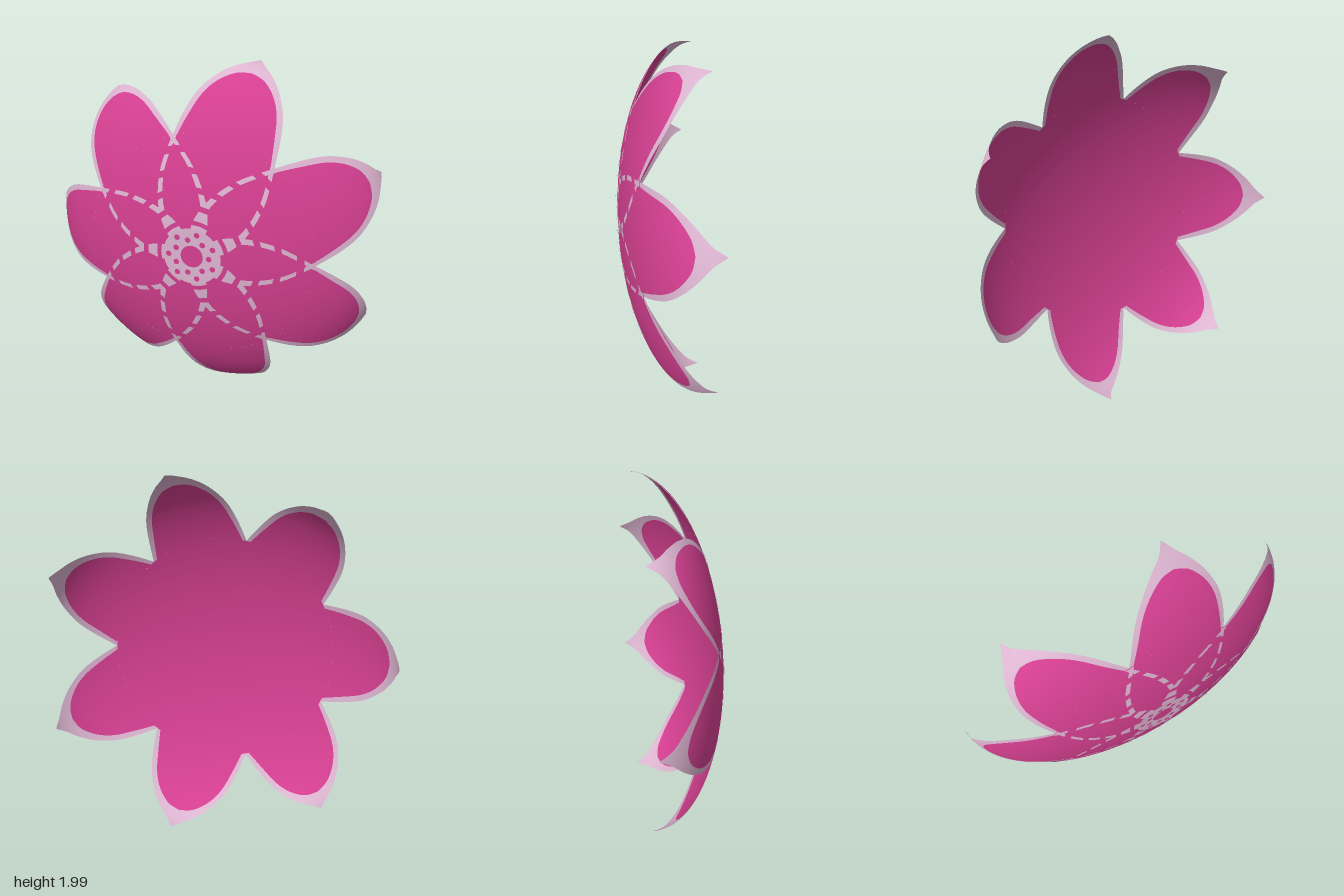
import * as THREE from 'three';

const R = 1.02, H = 0.47, Z0 = -0.24; // squashed half-ball that all petals lie on
const CENTRE = [0.04, 1];
const PETALS = 7;

// Point on the bowl: t = angle from the pole, w = sideways offset from the petal axis
function place(t, w, turn, lift) {
  const r = R * Math.sin(t);
  const a = turn + (r > 1e-6 ? Math.asin(THREE.MathUtils.clamp(w / r, -0.95, 0.95)) : 0);
  const p = new THREE.Vector3(r * Math.cos(a), r * Math.sin(a), H * Math.cos(t));
  const n = new THREE.Vector3(p.x / (R * R), p.y / (R * R), p.z / (H * H)).normalize();
  p.addScaledVector(n, lift);
  p.z += Z0;
  return { p, n };
}

// Smooth sheet between two matching lists of (t, w) points
function sheet(a, b, steps, turn, lift = 0) {
  const pos = [], nor = [], idx = [];
  a.forEach((pa, i) => {
    for (let j = 0; j <= steps; j++) {
      const q = pa.clone().lerp(b[i], j / steps);
      const { p, n } = place(q.x, q.y, turn, lift);
      pos.push(p.x, p.y, p.z);
      nor.push(n.x, n.y, n.z);
      if (i && j) {
        const k = i * (steps + 1) + j, l = k - steps - 1;
        // w grows anticlockwise and t outwards, seen from the front
        idx.push(l - 1, k - 1, k, l - 1, k, l);
      }
    }
  });
  const g = new THREE.BufferGeometry();
  g.setAttribute('position', new THREE.Float32BufferAttribute(pos, 3));
  g.setAttribute('normal', new THREE.Float32BufferAttribute(nor, 3));
  g.setIndex(idx);
  return g;
}

// Outline through (radius, half width) points, returned as (t, w)
function outline(points, count) {
  const v = points.map(([r, w]) => new THREE.Vector2(Math.asin(Math.min(1, r / R)), w));
  return new THREE.SplineCurve(v).getPoints(count)
    .map(p => p.set(Math.min(p.x, Math.PI / 2), Math.max(p.y, 0)));
}
const flip = list => list.map(p => new THREE.Vector2(p.x, -p.y));

export function createModel() {
  const pink = new THREE.MeshStandardMaterial({ color: 0xd43f90, side: THREE.DoubleSide });
  pink.name = 'deep pink';
  const pale = new THREE.MeshStandardMaterial({ color: 0xdcb4d0, side: THREE.DoubleSide });
  pale.name = 'pale pink';

  const root = new THREE.Group();
  root.name = 'flower';
  const flower = new THREE.Group();
  flower.name = 'blossom';
  flower.position.set(CENTRE[0], CENTRE[1], 0);
  root.add(flower);
  const add = (parent, geometry, material, name) => {
    const m = new THREE.Mesh(geometry, material);
    m.name = name;
    parent.add(m);
    return m;
  };

  // Petal outlines: overlapped base, then blade and its pale border
  const base = outline([[0, 0], [0.1, 0.09], [0.2, 0.18], [0.34, 0.26], [0.5, 0.3], [0.66, 0.288]], 24);
  const blade = outline([[0.66, 0.265], [0.76, 0.24], [0.85, 0.21], [0.91, 0.165], [0.95, 0.105], [0.966, 0.06], [0.974, 0]], 28);
  const edge = outline([[0.66, 0.288], [0.78, 0.268], [0.87, 0.237], [0.945, 0.173], [0.988, 0.105], [1.01, 0.045], [1.02, 0]], 28);

  for (let i = 0; i < PETALS; i++) {
    const turn = Math.PI + (i * 2 * Math.PI) / PETALS;
    const petal = new THREE.Group();
    petal.name = 'petal';
    flower.add(petal);
    add(petal, sheet(flip(base), base, 16, turn), pink, 'petalBase');
    add(petal, sheet(flip(blade), blade, 16, turn), pink, 'petalBlade');
    add(petal, sheet(blade, edge, 4, turn), pale, 'petalBorder');
    add(petal, sheet(flip(edge), flip(blade), 4, turn), pale, 'petalBorder');

    // Broken border lines where petals overlap, on the front only
    for (let k = 7; k < 24; k += 3) {
      const out = base.slice(k, k + 3);
      const inn = out.map(p => new THREE.Vector2(p.x, p.y - 0.024));
      add(petal, sheet(inn, out, 1, turn, 0.004), pale, 'borderDash');
      add(petal, sheet(flip(out), flip(inn), 1, turn, 0.004), pale, 'borderDash');
    }
  }

  // Flat flower heart with a pale ring and small pink dots
  const heart = new THREE.Group();
  heart.name = 'heart';
  heart.position.z = 0.236;
  flower.add(heart);
  add(heart, new THREE.RingGeometry(0.065, 0.168, 28), pale, 'heartRing');
  add(heart, new THREE.CircleGeometry(0.065, 14), pink, 'heartCentre');
  for (let i = 0; i < PETALS * 2; i++) {
    const a = (i * Math.PI) / PETALS, r = i % 2 ? 0.135 : 0.1;
    const dot = add(heart, new THREE.CircleGeometry(0.017, 8), pink, 'heartDot');
    dot.position.set(r * Math.cos(a), r * Math.sin(a), 0.003);
  }
  return root;
}
